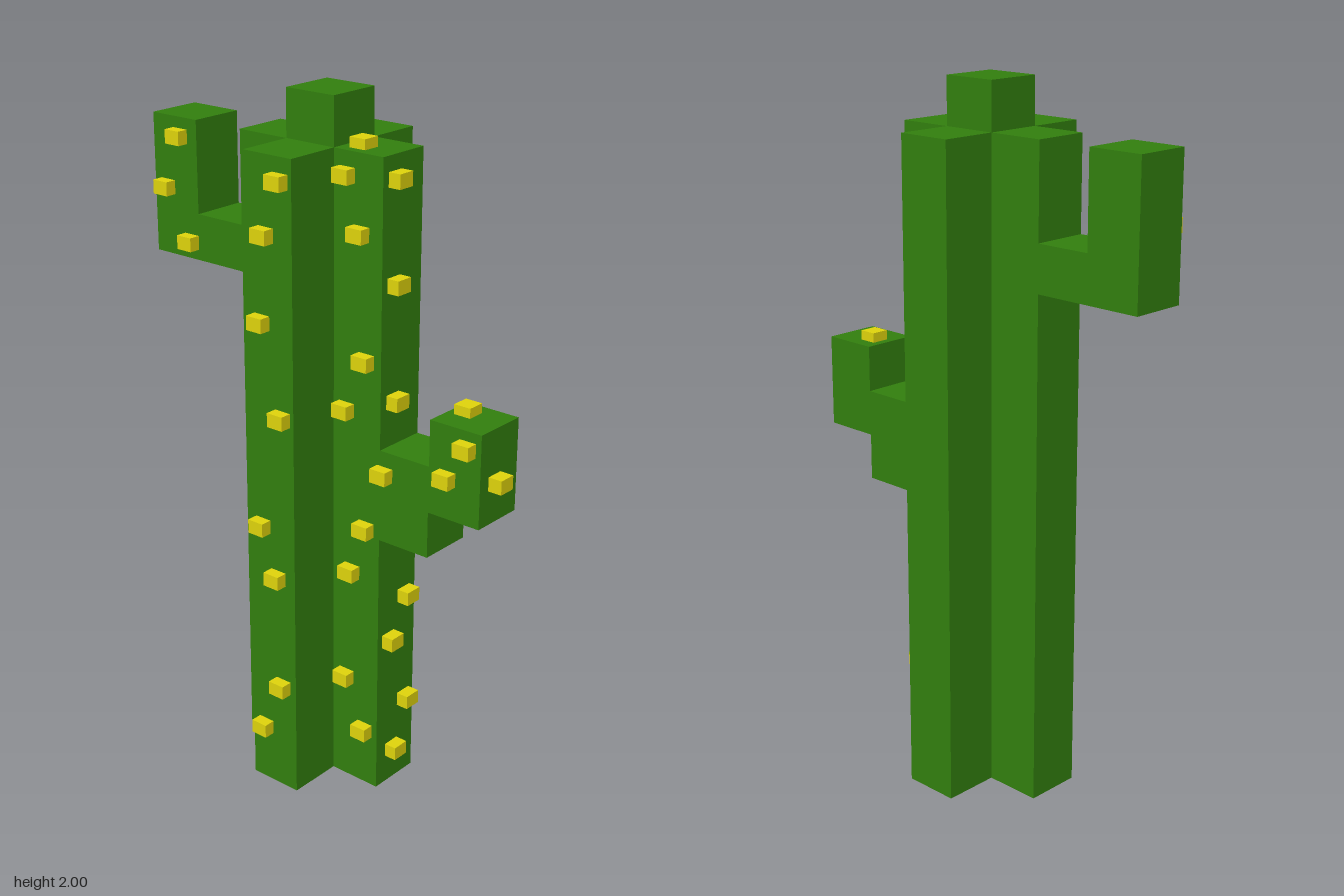
import * as THREE from 'three';

const green = new THREE.MeshStandardMaterial({ color: 0x32800e, flatShading: true });
const yellow = new THREE.MeshStandardMaterial({ color: 0xe0d50c, flatShading: true });

// Box given by its minimum and maximum corners
function block(name, [x0, y0, z0], [x1, y1, z1], material = green) {
  const mesh = new THREE.Mesh(new THREE.BoxGeometry(x1 - x0, y1 - y0, z1 - z0), material);
  mesh.position.set((x0 + x1) / 2, (y0 + y1) / 2, (z0 + z1) / 2);
  mesh.name = name;
  return mesh;
}

// Shared edges of the ribs
const XL = -0.27, X0 = -0.103, X1 = 0.06, XR = 0.223;
const ZB = -0.264, Z0 = -0.1, Z1 = 0.063, ZF = 0.228;
const RIB_TOP = 1.867;

export function createModel() {
  const cactus = new THREE.Group();
  cactus.name = 'cactus';

  // Trunk: tall core with four ribs forming a cross
  const trunk = new THREE.Group();
  trunk.name = 'trunk';
  trunk.add(
    block('core', [X0, 0, Z0], [X1, 2, Z1]),
    block('frontRib', [X0, 0, Z1], [X1, RIB_TOP, ZF]),
    block('backRib', [X0, 0, ZB], [X1, RIB_TOP, Z0]),
    block('leftRib', [X1, 0, Z0], [XR, RIB_TOP, Z1]),
    block('rightRib', [XL, 0, Z0], [X0, RIB_TOP, Z1]),
  );

  // Arms
  const rightArm = new THREE.Group();
  rightArm.name = 'rightArm';
  rightArm.add(
    block('rightArmBranch', [-0.435, 1.47, Z0], [XL, 1.603, Z1]),
    block('rightArmTip', [-0.6, 1.47, Z0], [-0.435, RIB_TOP, Z1]),
  );
  const leftArm = new THREE.Group();
  leftArm.name = 'leftArm';
  leftArm.add(
    block('leftArmBranch', [XR, 0.803, Z0], [0.388, 1.07, Z1]),
    block('leftArmTip', [0.388, 0.937, Z0], [0.553, 1.203, Z1]),
  );

  // Spines: small blocks partly sunk into the surface
  const spines = new THREE.Group();
  spines.name = 'spines';
  const spineGeometry = new THREE.BoxGeometry(0.052, 0.04, 0.052);
  const addSpine = (x, y, z) => {
    const spine = new THREE.Mesh(spineGeometry, yellow);
    spine.name = 'spine';
    spine.position.set(x, y, z);
    spines.add(spine);
  };
  const OUT = 0.008; // offset of a spine's centre beyond the surface

  // Front rib, as [x, y]
  [[0.022, 1.805], [-0.03, 1.657], [-0.047, 1.417], [0.022, 1.16],
    [-0.054, 0.824], [0, 0.678], [0.014, 0.335], [-0.054, 0.18],
  ].forEach(([x, y]) => addSpine(x, y, ZF + OUT));

  // Front faces of the left rib and both arms, as [x, y]
  [[0.105, 1.805], [0.153, 1.657], [0.173, 1.313], [0.105, 1.16],
    [0.178, 0.824], [0.128, 0.678], [0.11, 0.335], [0.178, 0.18],
    [0.24, 1.006], [0.448, 1.055], [0.51, 1.155],
    [-0.497, 1.815], [-0.55, 1.665], [-0.463, 1.52],
  ].forEach(([x, y]) => addSpine(x, y, Z1 + OUT));

  // Outer side of the left rib, as [y, z]
  [[1.805, 0.015], [1.525, 0.015], [1.2, 0.013], [0.595, -0.05],
    [0.475, 0.018], [0.255, -0.055], [0.107, -0.003],
  ].forEach(([y, z]) => addSpine(XR + OUT + 0.003, y, z));

  // Arm side and top faces
  addSpine(0.553 + OUT + 0.007, 1.055, 0);
  addSpine(0.115, RIB_TOP + OUT, 0.01);
  addSpine(0.437, 1.203 + OUT, -0.035);

  cactus.add(trunk, rightArm, leftArm, spines);
  return cactus;
}
